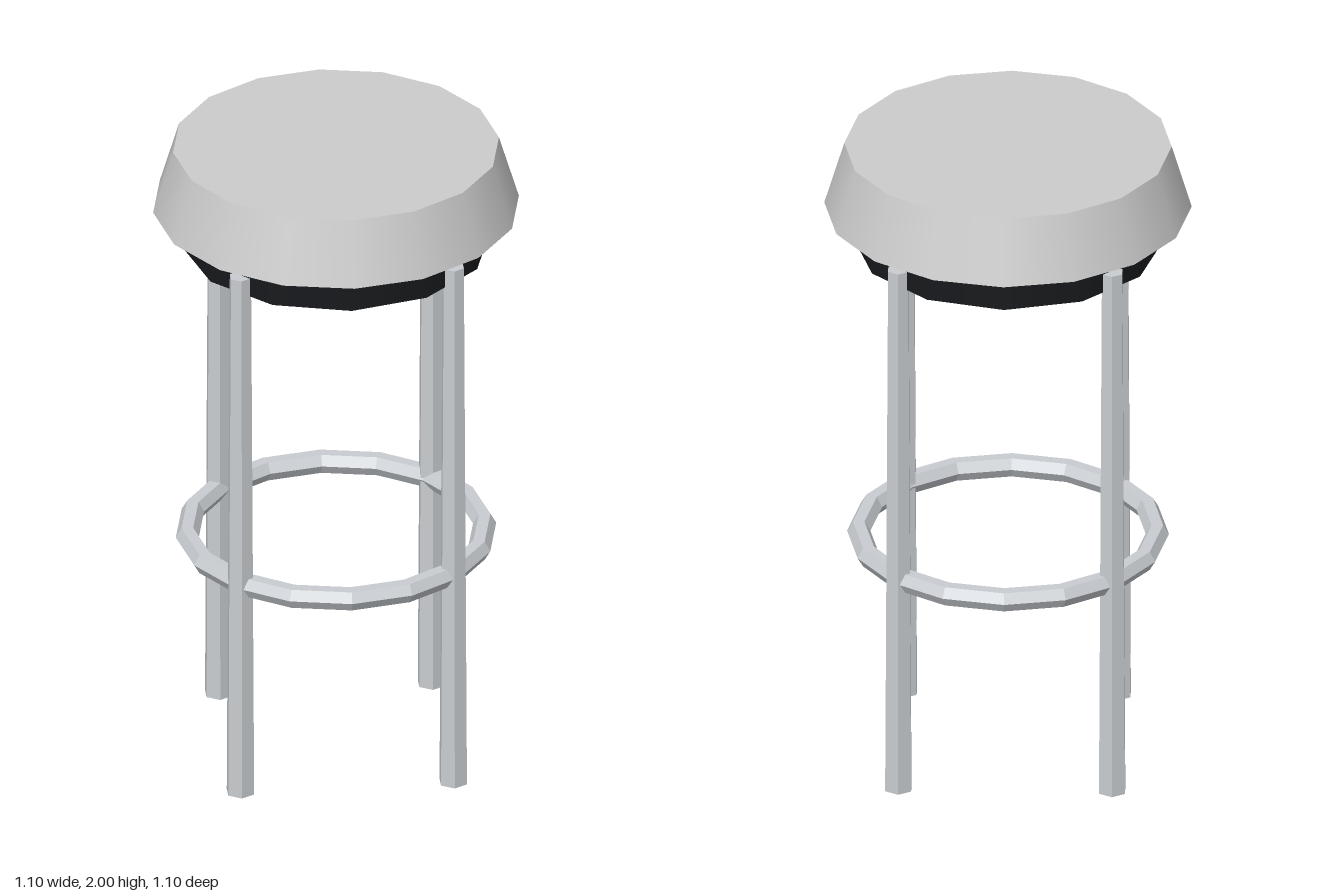
import * as THREE from 'three';

export function createModel() {
  const stool = new THREE.Group();
  stool.name = 'barStool';

  const cushionMat = new THREE.MeshStandardMaterial({ color: 0xcccccc });
  const plateMat = new THREE.MeshStandardMaterial({ color: 0x17191c });
  const metalMat = new THREE.MeshStandardMaterial({ color: 0xc8ccd0, flatShading: true });

  const add = (name, geometry, material, x, y, z) => {
    const mesh = new THREE.Mesh(geometry, material);
    mesh.name = name;
    mesh.position.set(x, y, z);
    stool.add(mesh);
    return mesh;
  };

  // Tapered round cushion
  add('seat', new THREE.CylinderGeometry(0.49, 0.55, 0.2, 16), cushionMat, 0, 1.9, 0);

  // Dark plate under the cushion
  add('seatBase', new THREE.CylinderGeometry(0.463, 0.463, 0.12, 12), plateMat, 0, 1.74, 0);

  // Four hexagonal legs, slightly thicker at the floor
  const legGeometry = new THREE.CylinderGeometry(0.035, 0.045, 1.74, 6);
  for (const [end, z] of [['front', 0.32], ['back', -0.32]]) {
    for (const [side, x] of [['Left', 0.32], ['Right', -0.32]]) {
      add(`${end}${side}Leg`, legGeometry, metalMat, x, 0.87, z);
    }
  }

  // Foot ring
  const ring = new THREE.TorusGeometry(0.447, 0.035, 6, 16).rotateX(Math.PI / 2);
  add('footRing', ring, metalMat, 0, 0.7, 0);

  return stool;
}
